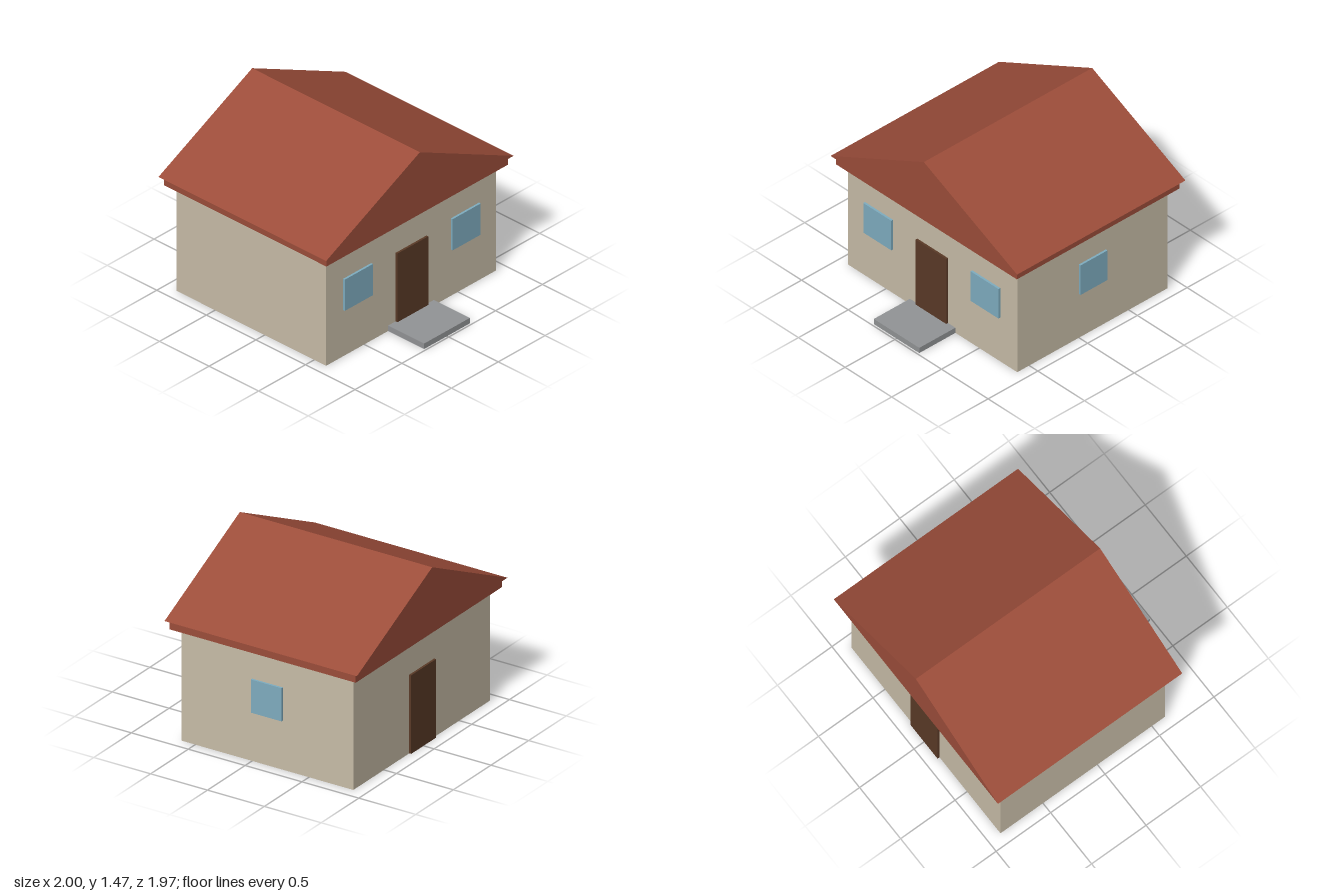
import * as THREE from 'three';

const mat = (name, color) => {
  const m = new THREE.MeshStandardMaterial({ color });
  m.name = name;
  return m;
};

export function createModel() {
  const house = new THREE.Group();
  house.name = 'house';

  const plaster = mat('plaster', 0xc8bda8);
  const tile = mat('roof tile', 0x9c4d3a);
  const wood = mat('dark wood', 0x5a3a27);
  const glass = mat('window glass', 0x7fadc0);
  const stone = mat('step stone', 0x929496);

  // Box given by its low and high limits on each axis
  const box = (name, material, [x0, x1], [y0, y1], [z0, z1]) => {
    const mesh = new THREE.Mesh(new THREE.BoxGeometry(x1 - x0, y1 - y0, z1 - z0), material);
    mesh.position.set((x0 + x1) / 2, (y0 + y1) / 2, (z0 + z1) / 2);
    mesh.name = name;
    house.add(mesh);
  };

  const wallX = 0.907, front = 0.62, back = -0.89, proud = 0.018, inset = 0.01;

  // Walls and the flat eave slab
  box('walls', plaster, [-wallX, wallX], [0, 0.93], [back, front]);
  box('eaveSlab', tile, [-0.97, 0.97], [0.914, 0.988], [-0.953, 0.683]);

  // Gabled roof prism
  const gable = new THREE.Shape([
    new THREE.Vector2(-1, 0.987),
    new THREE.Vector2(1, 0.987),
    new THREE.Vector2(0, 1.473),
  ]);
  const roof = new THREE.Mesh(
    new THREE.ExtrudeGeometry(gable, { depth: 1.692, bevelEnabled: false }), tile);
  roof.position.z = -0.983;
  roof.name = 'roof';
  house.add(roof);

  // Front and back doors
  box('frontDoor', wood, [-0.165, 0.165], [0.001, 0.64], [front - inset, front + proud]);
  box('backDoor', wood, [-0.165, 0.165], [0.001, 0.64], [back - proud, back + inset]);

  // Two front windows and one on the left wall
  const sill = [0.4, 0.67];
  for (const [name, x] of [['leftFrontWindow', 0.575], ['rightFrontWindow', -0.575]]) {
    box(name, glass, [x - 0.15, x + 0.15], sill, [front - inset, front + proud]);
  }
  box('sideWindow', glass, [wallX - inset, wallX + proud], sill, [-0.27, 0]);

  // Entrance step
  box('step', stone, [-0.244, 0.244], [0, 0.047], [front, 0.983]);

  return house;
}
